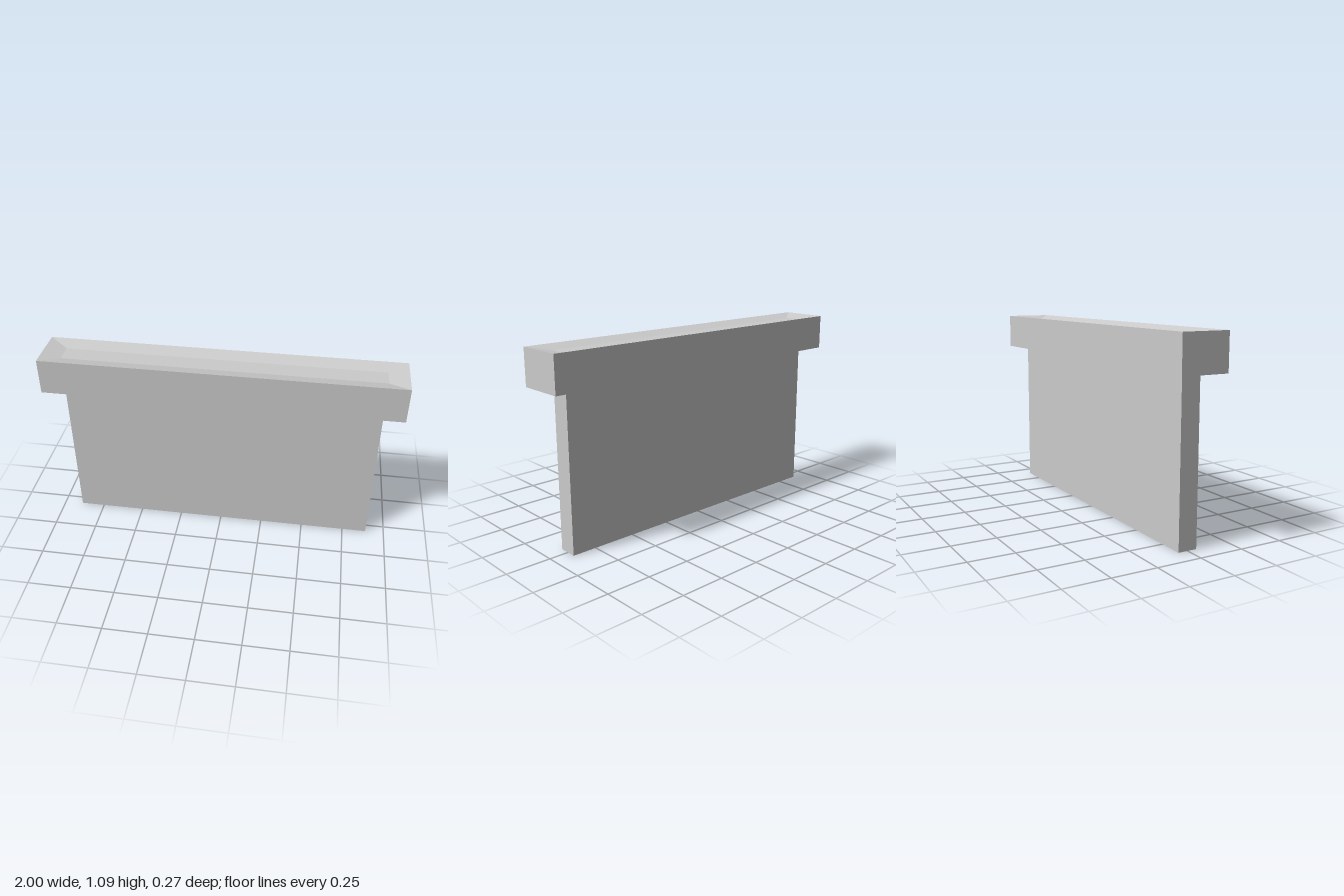
import * as THREE from 'three';

const material = new THREE.MeshStandardMaterial({ color: 0xcccccc, flatShading: true });

// Solid made of stacked rectangular rings [halfX, y, halfZ], closed at both ends
function ringSolid(rings) {
  const positions = [];
  const index = [];
  for (const [x, y, z] of rings) {
    positions.push(-x, y, z, x, y, z, x, y, -z, -x, y, -z);
  }
  for (let r = 0; r < rings.length - 1; r++) {
    for (let i = 0; i < 4; i++) {
      const a = r * 4 + i;
      const b = r * 4 + ((i + 1) % 4);
      index.push(a, b, b + 4, a, b + 4, a + 4);
    }
  }
  const t = (rings.length - 1) * 4;
  index.push(0, 2, 1, 0, 3, 2, t, t + 1, t + 2, t, t + 2, t + 3);
  const geometry = new THREE.BufferGeometry();
  geometry.setAttribute('position', new THREE.Float32BufferAttribute(positions, 3));
  geometry.setIndex(index);
  const flat = geometry.toNonIndexed();
  flat.computeVertexNormals();
  return flat;
}

export function createModel() {
  const group = new THREE.Group();
  group.name = 'cappedWall';

  // Upright slab
  const slabHeight = 0.885;
  const slab = new THREE.Mesh(new THREE.BoxGeometry(1.78, slabHeight, 0.107), material);
  slab.name = 'wallPanel';
  slab.position.y = slabHeight / 2;
  group.add(slab);

  // Overhanging cap, its top sloping gently inward to a shallow sunken floor
  const cap = new THREE.Mesh(
    ringSolid([
      [1, slabHeight, 0.134],
      [1, 1.088, 0.134],
      [0.89, 1.068, 0.054],
    ]),
    material
  );
  cap.name = 'topCap';
  group.add(cap);

  return group;
}
